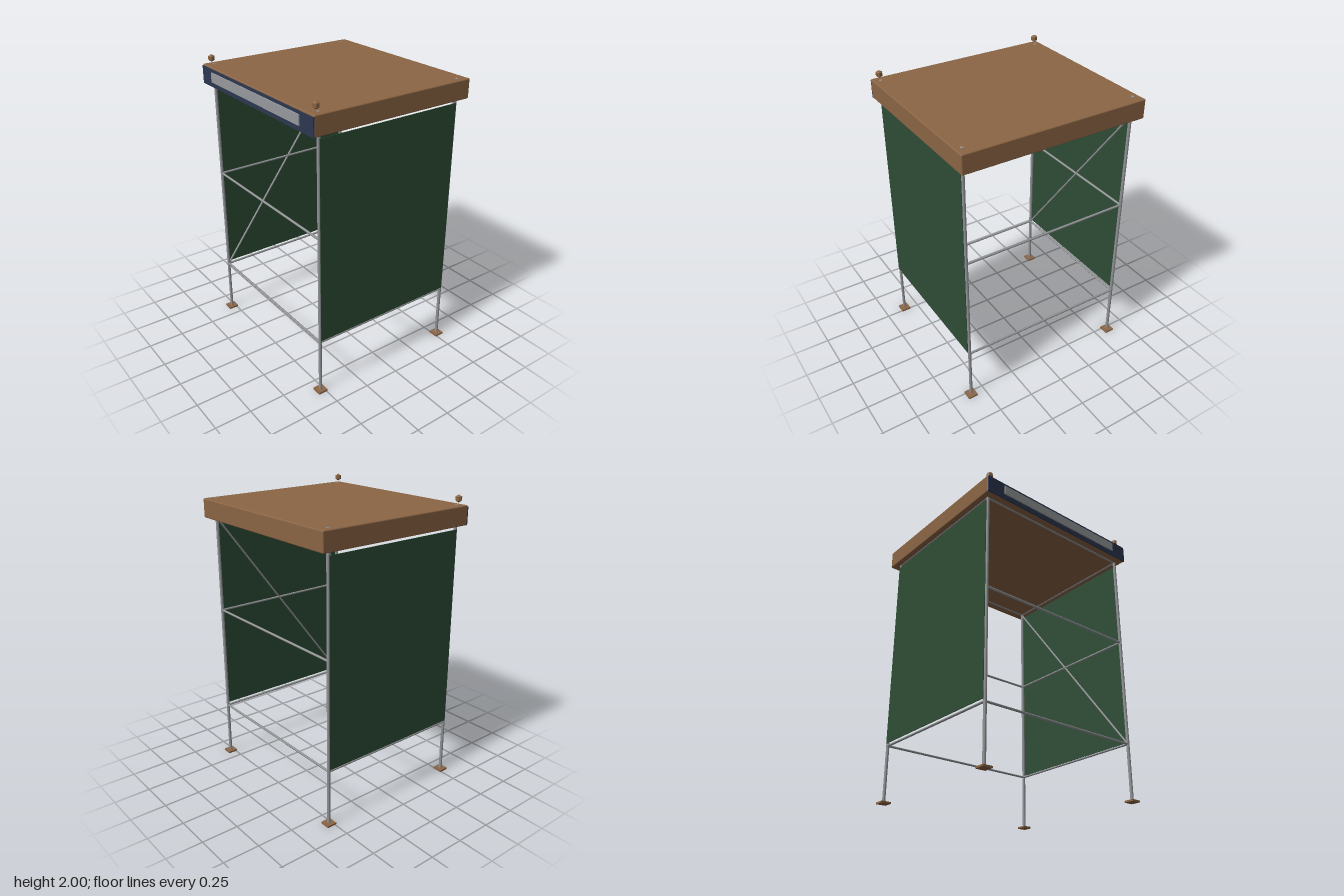
import * as THREE from 'three';
import { RoundedBoxGeometry } from 'three/addons/geometries/RoundedBoxGeometry.js';

const material = (name, color, flatShading = false) => {
  const m = new THREE.MeshStandardMaterial({ color, flatShading });
  m.name = name;
  return m;
};

export function createModel() {
  const model = new THREE.Group();
  model.name = 'shelterTower';

  const wood = material('wood', 0x8b6544);
  const metal = material('metal', 0x929496);
  const canvas = material('greenCanvas', 0x2d4c35);
  const navy = material('navyPaint', 0x2d3650);
  const signGrey = material('signGrey', 0x96999c);

  const add = (name, geometry, mat, x, y, z) => {
    const mesh = new THREE.Mesh(geometry, mat);
    mesh.name = name;
    mesh.position.set(x, y, z);
    model.add(mesh);
    return mesh;
  };

  // Tube between two points
  const up = new THREE.Vector3(0, 1, 0);
  const bar = (name, from, to, radius) => {
    const a = new THREE.Vector3(...from);
    const b = new THREE.Vector3(...to);
    const dir = b.clone().sub(a);
    const mid = a.clone().add(b).multiplyScalar(0.5);
    const mesh = add(name, new THREE.CylinderGeometry(radius, radius, dir.length(), 8), metal, mid.x, mid.y, mid.z);
    mesh.quaternion.setFromUnitVectors(up, dir.normalize());
  };

  const X = 0.6, Z = 0.525;
  const railHeights = [0.39, 1.14, 1.806];

  for (const sx of [-1, 1]) {
    // Posts and foot plates
    for (const sz of [-1, 1]) {
      bar('post', [sx * X, 0.005, sz * Z], [sx * X, 1.937, sz * Z], 0.011);
      add('footPlate', new THREE.BoxGeometry(0.068, 0.012, 0.068), wood, sx * X, 0.006, sz * Z);
    }
    // Side rails, diagonal brace and canvas
    for (const y of railHeights) bar('sideRail', [sx * X, y, -Z], [sx * X, y, Z], 0.008);
    bar('diagonalBrace', [sx * X, 0.39, Z], [sx * X, 1.8, -Z], 0.007);
    add('sideCanvas', new THREE.BoxGeometry(0.005, 1.375, 1.05), canvas, sx * 0.611, 1.0925, 0);
    // Faceted lamps floating just above the front corners
    const lamp = new THREE.SphereGeometry(0.025, 7, 3).toNonIndexed();
    lamp.computeVertexNormals();
    add('cornerLamp', lamp, wood, sx * X, 1.975, 0.54);
  }

  // Front and back rails
  for (const sz of [-1, 1])
    for (const y of railHeights) bar('crossRail', [-X, y, sz * Z], [X, y, sz * Z], 0.008);

  // Roof slab with its front fascia and blank sign strip
  add('roof', new RoundedBoxGeometry(1.29, 0.13, 1.18, 2, 0.008), wood, 0, 1.87, -0.007);
  add('fascia', new THREE.BoxGeometry(1.286, 0.12, 0.008), navy, 0, 1.865, 0.584);
  add('signStrip', new THREE.BoxGeometry(1.026, 0.065, 0.008), signGrey, 0, 1.873, 0.592);

  return model;
}
